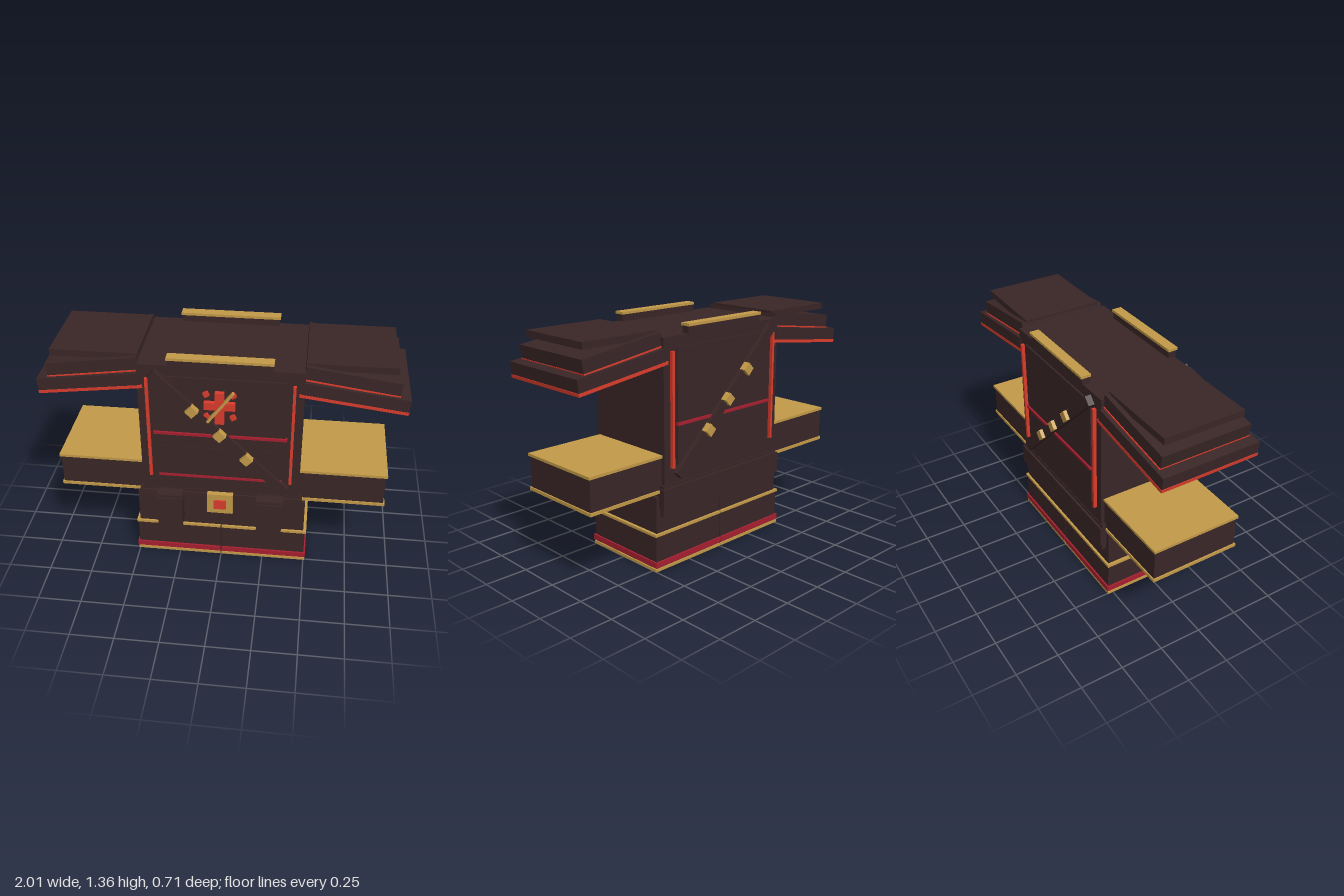
import * as THREE from 'three';

const mat = (name, color) => {
  const m = new THREE.MeshStandardMaterial({ color });
  m.name = name;
  return m;
};

export function createModel() {
  const cloth = mat('dark cloth', 0x3a2627);
  const gold = mat('gold trim', 0xc39a48);
  const red = mat('bright red', 0xdc3c2c);
  const crimson = mat('crimson', 0xa81f30);
  const root = new THREE.Group();
  const ZC = -0.0125; // depth centre of the garment

  // Box given by its limits
  function box(name, m, x0, x1, y0, y1, z0, z1, parent = root) {
    const mesh = new THREE.Mesh(new THREE.BoxGeometry(x1 - x0, y1 - y0, z1 - z0), m);
    mesh.position.set((x0 + x1) / 2, (y0 + y1) / 2, (z0 + z1) / 2);
    mesh.name = name;
    parent.add(mesh);
    return mesh;
  }
  // Box centred in depth with half depth d
  const slab = (name, m, x0, x1, y0, y1, d, parent) =>
    box(name, m, x0, x1, y0, y1, ZC - d, ZC + d, parent);
  // Box turned in the front plane
  function turned(name, m, x, y, w, h, z0, z1, angle) {
    const mesh = box(name, m, x - w / 2, x + w / 2, y - h / 2, y + h / 2, z0, z1);
    mesh.rotation.z = angle;
    return mesh;
  }

  // Torso, hem and belt
  slab('torso', cloth, -0.45, 0.45, 0.325, 1.305, 0.2825);
  slab('hem', cloth, -0.462, 0.462, 0.32, 0.5, 0.2865);
  slab('belt', cloth, -0.47, 0.47, 0.362, 0.482, 0.3);

  // Skirt in two halves with a narrow slit between them
  const skirt = (name, m, w, y0, y1, d) => {
    slab(name + 'Left', m, 0.003, w, y0, y1, d);
    slab(name + 'Right', m, -w, -0.003, y0, y1, d);
  };
  skirt('upperSkirt', cloth, 0.49, 0.22, 0.435, 0.26);
  skirt('lowerSkirt', cloth, 0.5, 0, 0.215, 0.267);
  skirt('skirtMiddleTrim', gold, 0.508, 0.21, 0.225, 0.273);
  skirt('skirtBand', crimson, 0.51, 0.028, 0.06, 0.277);
  skirt('skirtBottomTrim', gold, 0.508, 0.003, 0.02, 0.273);

  // Chest plates
  box('chestPlate', cloth, -0.365, 0.36, 0.6, 1.245, 0.26, 0.28);
  box('lowerChestPlate', cloth, -0.345, 0.345, 0.61, 0.8, 0.27, 0.285);
  box('chestPiping', crimson, -0.37, 0.37, 0.88, 0.896, 0.27, 0.29);
  box('waistPiping', crimson, -0.35, 0.35, 0.597, 0.612, 0.27, 0.29);
  box('backPlate', cloth, -0.36, 0.36, 0.6, 1.245, -0.305, -0.28);
  box('backPiping', crimson, -0.365, 0.365, 0.822, 0.838, -0.315, -0.29);

  // Details on both faces: side piping, collar, strap and studs
  for (const s of [1, -1]) {
    const zr = (a, b) => [ZC + s * a, ZC + s * b].sort((p, q) => p - q);
    for (const x of [-0.397, 0.397])
      box('sidePiping', red, x - 0.008, x + 0.008, 0.59, 1.23, ...zr(0.27, 0.302));
    box('collar', cloth, -0.28, 0.28, 1.3, 1.347, ...zr(0.245, 0.29));
    box('collarTrim', gold, -0.285, 0.285, 1.345, 1.36, ...zr(0.24, 0.299));
    turned('strap', cloth, 0, 0.905, 1.035, 0.055, ...zr(0.27, 0.317), -0.775);
    for (const k of [-1, 0, 1])
      turned('stud', gold, k * 0.15, 0.908 - k * 0.148, 0.053, 0.053, ...zr(0.3, 0.338), -0.775);
  }

  // Chest ornament
  box('ornamentUpright', red, -0.025, 0.025, 0.98, 1.175, 0.27, 0.307);
  box('ornamentBar', red, -0.085, 0.085, 1.067, 1.112, 0.27, 0.305);
  for (const x of [-0.073, 0.073])
    for (const y of [1.02, 1.158])
      turned('ornamentDot', red, x, y, 0.027, 0.027, 0.27, 0.302, 0.5);
  turned('ornamentRod', gold, 0.004, 1.085, 0.235, 0.015, 0.29, 0.313, 0.93);

  // Buckle
  box('buckle', gold, -0.075, 0.075, 0.36, 0.492, 0.27, 0.305);
  box('buckleCentre', red, -0.036, 0.036, 0.395, 0.455, 0.3, 0.314);

  // Mirrored pouches, sleeves and shoulder pads
  for (const s of [1, -1]) {
    const xr = (a, b) => [s * a, s * b].sort((p, q) => p - q);
    box('pouch', cloth, ...xr(0.215, 0.36), 0.283, 0.495, 0.26, 0.345);
    box('pouchFlap', cloth, ...xr(0.209, 0.367), 0.415, 0.478, 0.26, 0.355);

    slab('sleeve', cloth, ...xr(0.44, 0.932), 0.455, 0.662, 0.26);
    slab('sleeveUpperTrim', gold, ...xr(0.45, 0.94), 0.653, 0.669, 0.267);
    slab('sleeveLowerTrim', gold, ...xr(0.45, 0.94), 0.457, 0.475, 0.267);

    // Tilted layers hang from a pivot near the shoulder seam
    const layer = (name, x, y, tilt) => {
      const g = new THREE.Group();
      g.name = name;
      g.position.set(s * x, y, 0);
      g.rotation.z = -s * tilt;
      root.add(g);
      return g;
    };
    const low = layer('lowerShoulderPad', 0.42, 1.163, 0.125);
    slab('padBase', red, ...xr(0, 0.582), 0, 0.018, 0.2885, low);
    slab('padBody', cloth, ...xr(0.01, 0.579), 0.016, 0.088, 0.2865, low);
    const mid = layer('middleShoulderPad', 0.44, 1.253, 0.137);
    slab('padBase', red, ...xr(0, 0.512), 0, 0.008, 0.267, mid);
    slab('padBody', cloth, ...xr(0, 0.51), 0.007, 0.08, 0.262, mid);
    slab('upperShoulderPad', cloth, ...xr(0.45, 0.93), 1.303, 1.34, 0.235);
  }
  return root;
}
